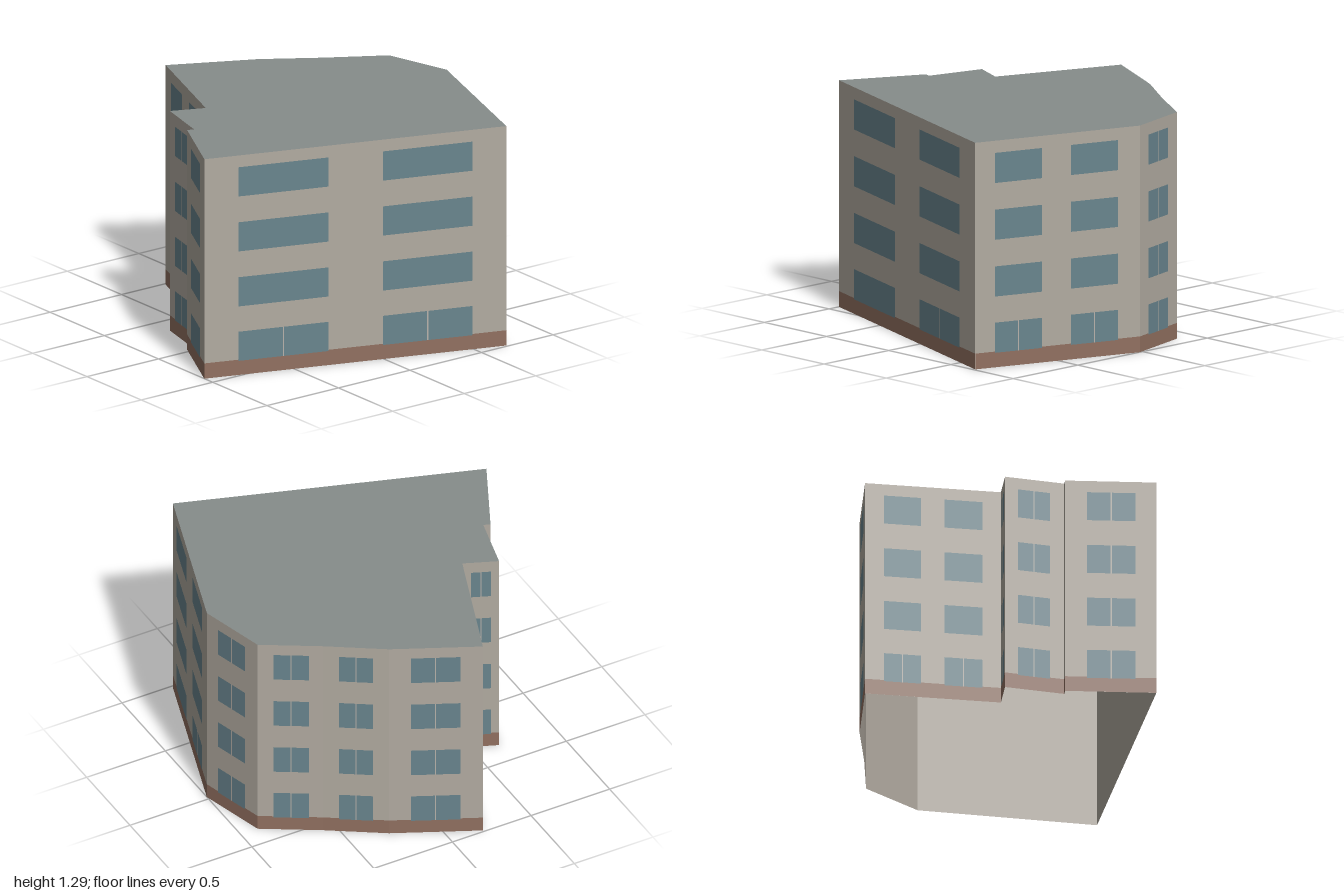
import * as THREE from 'three';

const HEIGHT = 1.293, PLINTH = 0.09, WINDOW_H = 0.172, MULLION = 0.006;
const PLINTH_OUT = 0.0006, WINDOW_OUT = 0.0012;
const SILLS = [0.083, 0.404, 0.728, 1.052];

// Footprint corners [x, z], in order along the front and round by the left side.
// Each wall runs from its corner to the next; windows are [start, end] fractions of it.
const WALLS = [
  { at: [-1, 0.423], windows: [[0.113, 0.411], [0.592, 0.887]], plainAbove: true },
  { at: [0.683, 0.988], windows: [[0.119, 0.404], [0.58, 0.867]], plainAbove: true },
  { at: [1, 0.02], windows: [[0.22, 0.757]] },
  { at: [0.892, -0.37], windows: [[0.24, 0.785]] },
  { at: [0.58, -0.557], windows: [[0.24, 0.76]] },
  { at: [0.27, -0.76], windows: [[0.23, 0.76]] },
  { at: [-0.2, -0.989], windows: [[0.14, 0.41], [0.585, 0.865]], plainAbove: true },
  { at: [-0.465, -0.27], windows: [[0.24, 0.78]] },
  { at: [-0.655, -0.35], windows: [[0.22, 0.76]] },
  { at: [-0.737, -0.018], windows: [] },
  { at: [-0.775, -0.033], windows: [[0.24, 0.77]] },
];

const paint = (color, side = THREE.FrontSide) => new THREE.MeshStandardMaterial({ color, side });

export function createModel() {
  const wallMat = paint(0xb2aba1, THREE.DoubleSide);
  const roofMat = paint(0x868d8b, THREE.DoubleSide);
  const brickMat = paint(0x917060);
  const glassMat = paint(0x69858e);
  const frameMat = paint(0xb8b3ab);

  const model = new THREE.Group();
  model.name = 'apartmentBlock';

  // Upright rectangle in a wall's own frame: x along the wall, z outward
  const panel = (parent, name, mat, x0, x1, y0, y1, z = 0) => {
    const mesh = new THREE.Mesh(new THREE.PlaneGeometry(x1 - x0, y1 - y0), mat);
    mesh.position.set((x0 + x1) / 2, (y0 + y1) / 2, z);
    mesh.name = name;
    parent.add(mesh);
  };

  // Thin walls, open below, faced with a brick plinth and four storeys of windows
  WALLS.forEach(({ at: [ax, az], windows, plainAbove }, i) => {
    const [bx, bz] = WALLS[(i + 1) % WALLS.length].at;
    const dx = bx - ax, dz = bz - az, length = Math.hypot(dx, dz);
    const facade = new THREE.Group();
    facade.name = `facade${i + 1}`;
    facade.position.set(ax, 0, az);
    facade.rotation.y = Math.atan2(-dz, dx);
    model.add(facade);

    panel(facade, 'wall', wallMat, 0, length, 0, HEIGHT);
    panel(facade, 'plinth', brickMat, 0, length, 0, PLINTH, PLINTH_OUT);

    for (const [t0, t1] of windows) {
      SILLS.forEach((sill, storey) => {
        const x0 = t0 * length, x1 = t1 * length, top = sill + WINDOW_H;
        if (plainAbove && storey > 0) {
          panel(facade, 'windowPane', glassMat, x0, x1, sill, top, WINDOW_OUT);
        } else {
          const m0 = (x0 + x1 - MULLION) / 2, m1 = m0 + MULLION;
          panel(facade, 'windowPane', glassMat, x0, m0, sill, top, WINDOW_OUT);
          panel(facade, 'windowMullion', frameMat, m0, m1, sill, top, WINDOW_OUT);
          panel(facade, 'windowPane', glassMat, m1, x1, sill, top, WINDOW_OUT);
        }
      });
    }
  });

  // Flat roof over the footprint
  const outline = new THREE.Shape(WALLS.map(({ at: [x, z] }) => new THREE.Vector2(x, -z)));
  const roof = new THREE.Mesh(new THREE.ShapeGeometry(outline).rotateX(-Math.PI / 2), roofMat);
  roof.position.y = HEIGHT;
  roof.name = 'roof';
  model.add(roof);

  return model;
}
